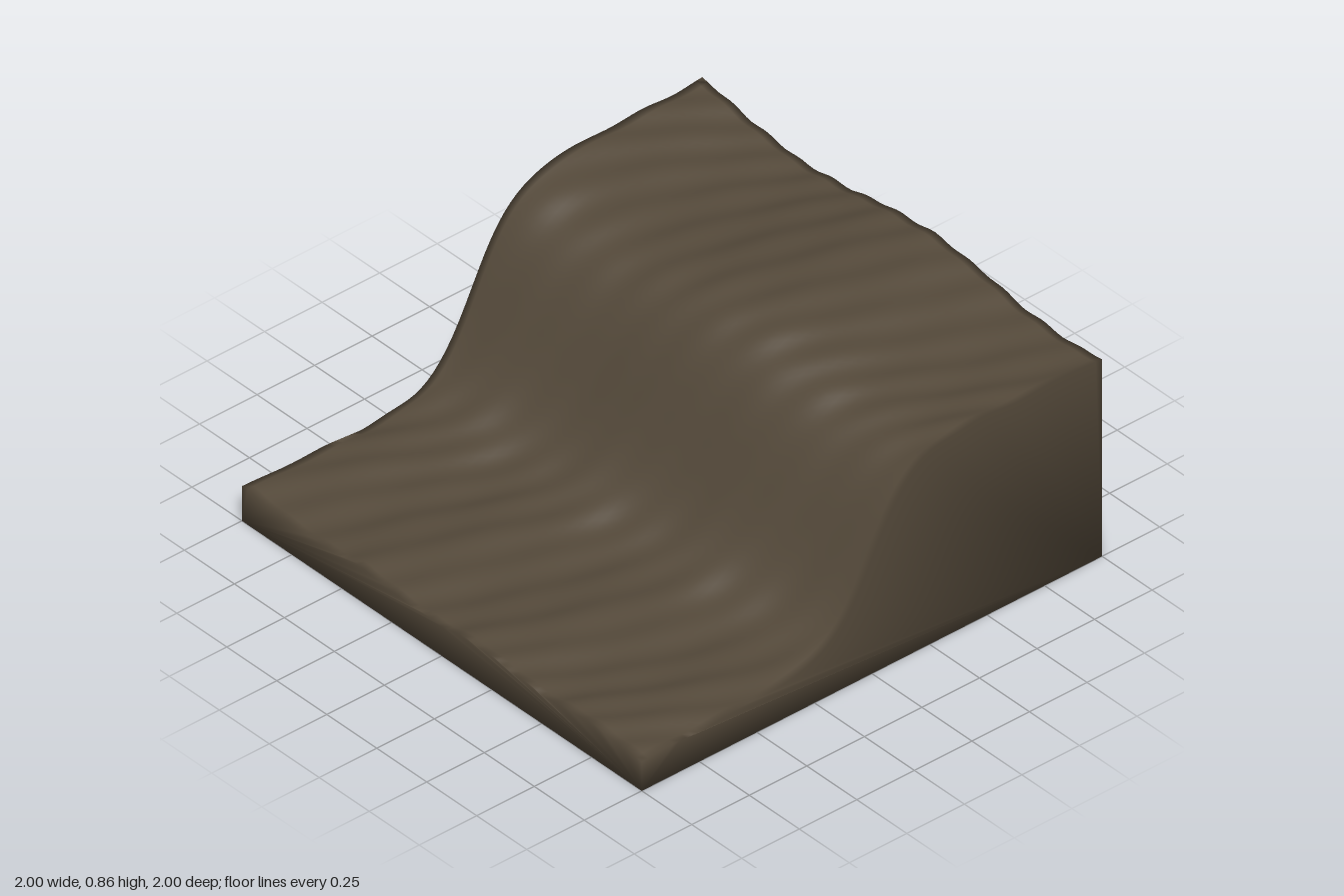
import * as THREE from 'three';

const N = 72; // cells along each side of the ground surface

// Height of the ground: low flat, steep bank, high flat, with swells and diagonal ripples
function height(x, z) {
  const rise = (1 - Math.tanh(5.8 * z)) / 2; // 0 on the low front, 1 on the high back
  const base = 0.127 + 0.69 * rise;
  const highSwell = 0.033 * Math.cos(4.9 * (x - 0.15) + 0.5 * (z + 1)) * (0.75 - 0.25 * z);
  const lowSwell = 0.009 * Math.sin(10.8 * x + 3 * z + 2.9);
  const flat = 1 - 0.7 * 4 * rise * (1 - rise); // ripples fade on the bank
  const ripple = 0.0045 * Math.sin(36 * (x + 0.5 * z) + 1.2 * Math.sin(5 * z + 2 * x));
  const fine = 0.002 * Math.sin(23 * x - 9 * z + 1);
  return base + highSwell * rise + lowSwell * (1 - rise) + (ripple + fine) * flat;
}

function embankmentGeometry() {
  const positions = [], index = [];
  const id = (i, j) => j * (N + 1) + i; // i along +x, j along +z

  // Ground surface
  for (let j = 0; j <= N; j++) {
    for (let i = 0; i <= N; i++) {
      const x = -1 + (2 * i) / N, z = -1 + (2 * j) / N;
      positions.push(x, height(x, z), z);
    }
  }
  for (let j = 0; j < N; j++) {
    for (let i = 0; i < N; i++) {
      const a = id(i, j), b = id(i + 1, j), c = id(i, j + 1), d = id(i + 1, j + 1);
      index.push(a, c, b, b, c, d);
    }
  }

  // Four bottom corners and the underside
  const backA = (N + 1) ** 2, backB = backA + 1, frontA = backA + 2, frontB = backA + 3;
  positions.push(-1, 0, -1, 1, 0, -1, -1, 0, 1, 1, 0, 1);
  index.push(backA, backB, frontB, backA, frontB, frontA);

  // Side wall: fans from two bottom corners, meeting at step "split" of the rim.
  // The rim runs from the wall's left end to its right end, seen from outside.
  function wall(left, right, rim, split) {
    for (let k = 0; k < N; k++) {
      index.push(k < split ? left : right, rim(k + 1), rim(k));
    }
    index.push(left, right, rim(split));
  }
  wall(frontA, frontB, (k) => id(k, N), N / 2);
  wall(backB, backA, (k) => id(N - k, 0), N / 2);
  wall(frontB, backB, (k) => id(N, N - k), 6);
  wall(backA, frontA, (k) => id(0, k), N - 6);

  const geometry = new THREE.BufferGeometry();
  geometry.setAttribute('position', new THREE.Float32BufferAttribute(positions, 3));
  geometry.setIndex(index);
  geometry.computeVertexNormals(); // shared corners keep the block softly shaded
  return geometry;
}

export function createModel() {
  const group = new THREE.Group();
  group.name = 'terrainBlock';
  const earth = new THREE.MeshStandardMaterial({ color: 0x54493a });
  const embankment = new THREE.Mesh(embankmentGeometry(), earth);
  embankment.name = 'embankment';
  group.add(embankment);
  return group;
}
